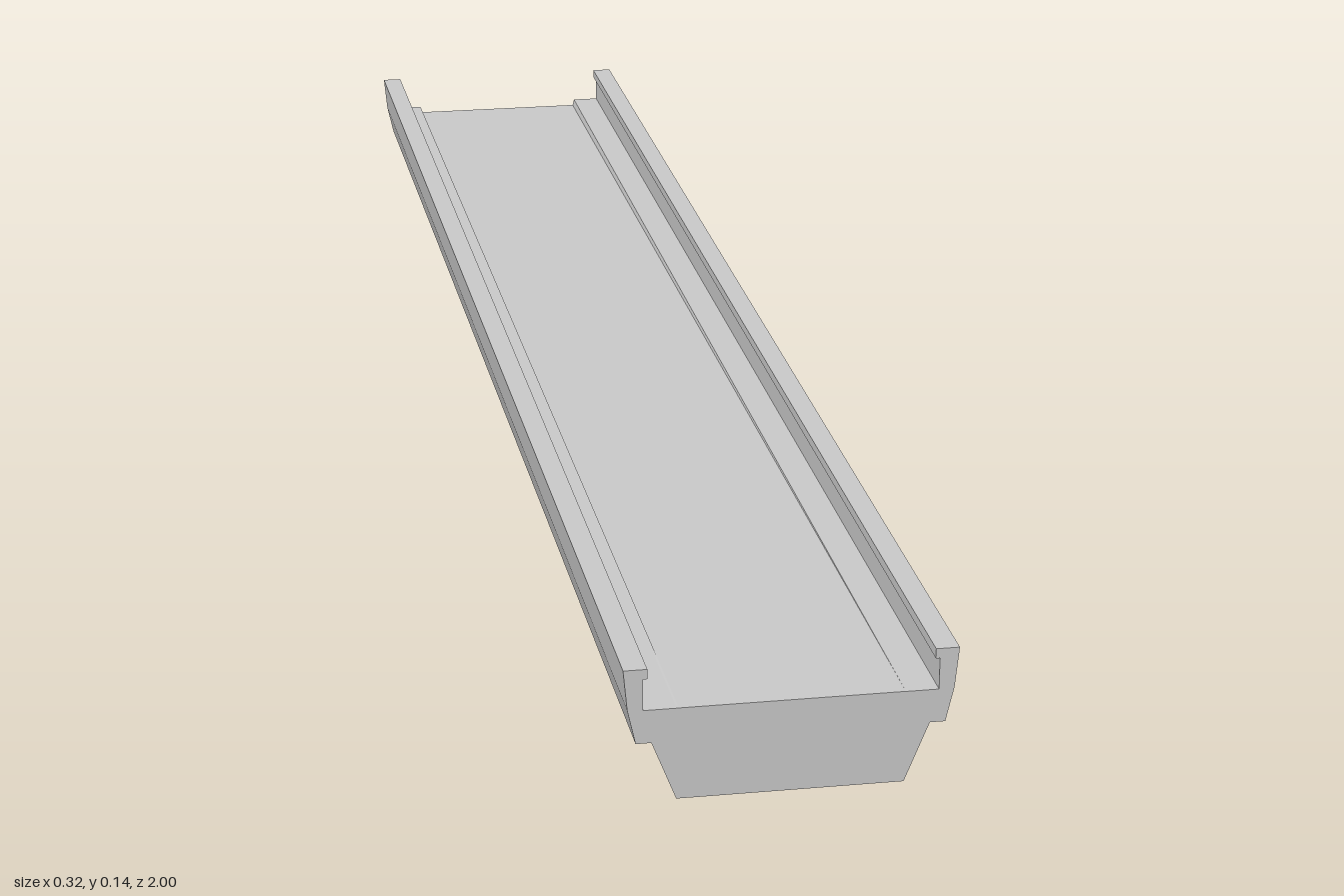
import * as THREE from 'three';

const HALF_LENGTH = 1;

// Right half of the cross-section, from the bottom corner up over the rail to the deck edge.
function outline(deckY) {
  const half = [
    [0.11, 0], [0.134, 0.06], [0.149, 0.06], [0.157, 0.095], [0.161, 0.136],
    [0.138, 0.136], [0.138, 0.126], [0.142, 0.126], [0.142, 0.094],
    [0.11, 0.094], [0.108, deckY],
  ];
  const mirrored = half.map(([x, y]) => [-x, y]).reverse();
  return [...half, ...mirrored].map(([x, y]) => new THREE.Vector2(x, y));
}

// Skin stretched between the front and back outlines.
function loft(front, back) {
  const positions = [];
  const put = (p, z) => positions.push(p.x, p.y, z);
  for (let i = 0; i < front.length; i++) {
    const j = (i + 1) % front.length;
    put(front[i], HALF_LENGTH); put(back[i], -HALF_LENGTH); put(back[j], -HALF_LENGTH);
    put(front[i], HALF_LENGTH); put(back[j], -HALF_LENGTH); put(front[j], HALF_LENGTH);
  }
  const geometry = new THREE.BufferGeometry();
  geometry.setAttribute('position', new THREE.Float32BufferAttribute(positions, 3));
  geometry.computeVertexNormals();
  return geometry;
}

export function createModel() {
  const group = new THREE.Group();
  group.name = 'channelBeam';
  const material = new THREE.MeshStandardMaterial({
    color: 0xcccccc, flatShading: true, side: THREE.DoubleSide,
  });

  // The deck is flush with the ledges at the front and sinks slightly toward the back.
  const front = outline(0.0941);
  const back = outline(0.086);

  // Hollow body with rails, ledges and deck; its back end stays open.
  const body = new THREE.Mesh(loft(front, back), material);
  body.name = 'beamBody';
  group.add(body);

  // Closed front end.
  const cap = new THREE.Mesh(new THREE.ShapeGeometry(new THREE.Shape(front)), material);
  cap.name = 'frontEndPlate';
  cap.position.z = HALF_LENGTH;
  group.add(cap);

  return group;
}
